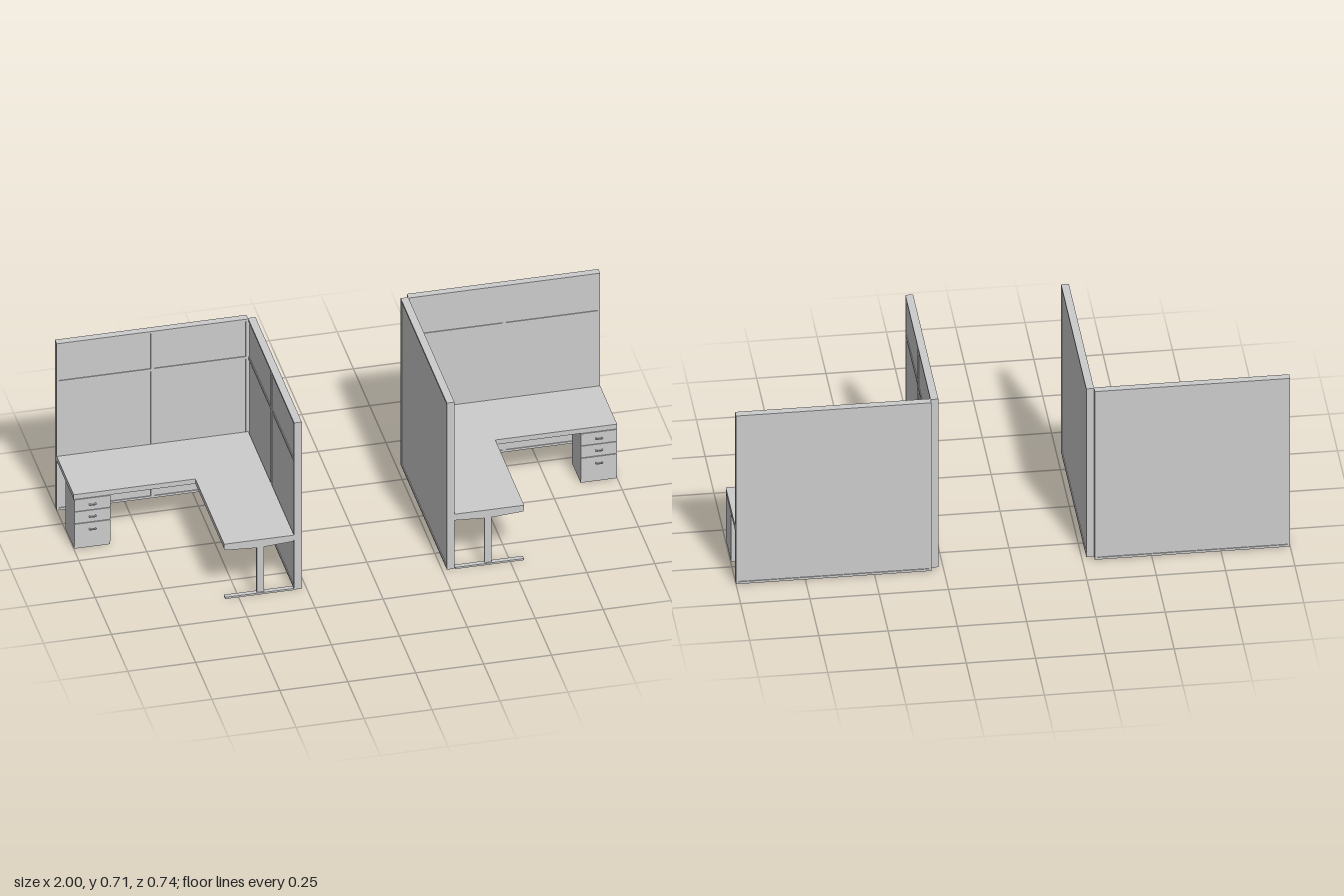
import * as THREE from 'three';

const grey = new THREE.MeshStandardMaterial({ color: 0xcccccc });

// Box given by its corner limits; s mirrors it in x
function box(parent, name, s, [x0, x1], [y0, y1], [z0, z1]) {
  const mesh = new THREE.Mesh(new THREE.BoxGeometry(x1 - x0, y1 - y0, z1 - z0), grey);
  mesh.name = name;
  mesh.position.set(s * (x0 + x1) / 2, (y0 + y1) / 2, (z0 + z1) / 2);
  parent.add(mesh);
  return mesh;
}

function extrude(shape, depth, name) {
  const mesh = new THREE.Mesh(new THREE.ExtrudeGeometry(shape, { depth, bevelEnabled: false }), grey);
  mesh.name = name;
  return mesh;
}

const polygon = (points) => new THREE.Shape(points.map(([x, y]) => new THREE.Vector2(x, y)));

// Framed partition: u runs along its length, w from its outer to its inner face
function partition(name, s, alongX, [u0, u1], [w0, w1]) {
  const group = new THREE.Group();
  group.name = name;
  const H = 0.71, f = 0.009, inset = 0.003;
  const add = (part, u, y, w) => box(group, part, s, alongX ? u : w, y, alongX ? w : u);
  add('fabricCore', [u0 + f, u1 - f], [f, H - f], [w0 + inset, w1 - inset]);
  add('endPost', [u0, u0 + f], [0, H], [w0, w1]);
  add('endPost', [u1 - f, u1], [0, H], [w0, w1]);
  add('bottomRail', [u0 + f, u1 - f], [0, f], [w0, w1]);
  add('topRail', [u0 + f, u1 - f], [H - f, H], [w0, w1]);
  // Dividers on the inner face only
  const mid = (u0 + u1) / 2, inner = [w1 - inset, w1];
  add('middleRail', [u0 + f, u1 - f], [0.54, 0.551], inner);
  add('middlePost', [mid - 0.0065, mid + 0.0065], [f, 0.54], inner);
  add('middlePost', [mid - 0.0065, mid + 0.0065], [0.551, H - f], inner);
  return group;
}

function worktop(s) {
  const outline = [[0.295, -0.34], [1, -0.34], [1, -0.08], [0.552, -0.08], [0.552, 0.362], [0.295, 0.362]];
  const mesh = extrude(polygon(outline.map(([x, z]) => [s * x, z])), 0.02, 'worktop');
  mesh.rotation.x = Math.PI / 2;
  mesh.position.y = 0.23;
  return mesh;
}

function tableLeg(s) {
  const group = new THREE.Group();
  group.name = 'tableLeg';
  box(group, 'foot', s, [0.297, 0.55], [0, 0.007], [0.35, 0.368]);
  box(group, 'column', s, [0.406, 0.432], [0.007, 0.2], [0.352, 0.362]);
  // Support arm, tapering towards its ends
  const arm = extrude(polygon([[-0.127, 0.204], [-0.02, 0.197], [0.02, 0.197], [0.127, 0.204],
    [0.127, 0.21], [-0.127, 0.21]]), 0.012, 'arm');
  arm.position.set(s * 0.423, 0, 0.35);
  group.add(arm);
  return group;
}

function pedestal(s) {
  const group = new THREE.Group();
  group.name = 'drawerPedestal';
  const x = [0.866, 0.998];
  box(group, 'cabinet', s, x, [0, 0.21], [-0.217, -0.08]);
  // Three drawer fronts, each with a bar pull on two stubs
  for (const [y0, y1, pull] of [[0.015, 0.106, 0.08], [0.109, 0.158, 0.134], [0.16, 0.21, 0.185]]) {
    box(group, 'drawerFront', s, x, [y0, y1], [-0.08, -0.076]);
    box(group, 'handle', s, [0.919, 0.945], [pull - 0.002, pull + 0.002], [-0.07, -0.066]);
    for (const hx of [0.919, 0.941]) {
      box(group, 'handleStub', s, [hx, hx + 0.004], [pull - 0.002, pull + 0.002], [-0.076, -0.07]);
    }
  }
  return group;
}

export function createModel() {
  const model = new THREE.Group();
  model.name = 'officeWorkstations';
  // Two workstations, mirror images of each other
  for (const s of [1, -1]) {
    const station = new THREE.Group();
    station.name = s > 0 ? 'leftWorkstation' : 'rightWorkstation';
    station.add(
      partition('sidePartition', s, false, [-0.346, 0.365], [0.267, 0.295]),
      partition('backPartition', s, true, [0.295, 1], [-0.368, -0.34]),
      worktop(s), tableLeg(s), pedestal(s),
    );
    model.add(station);
  }
  return model;
}
